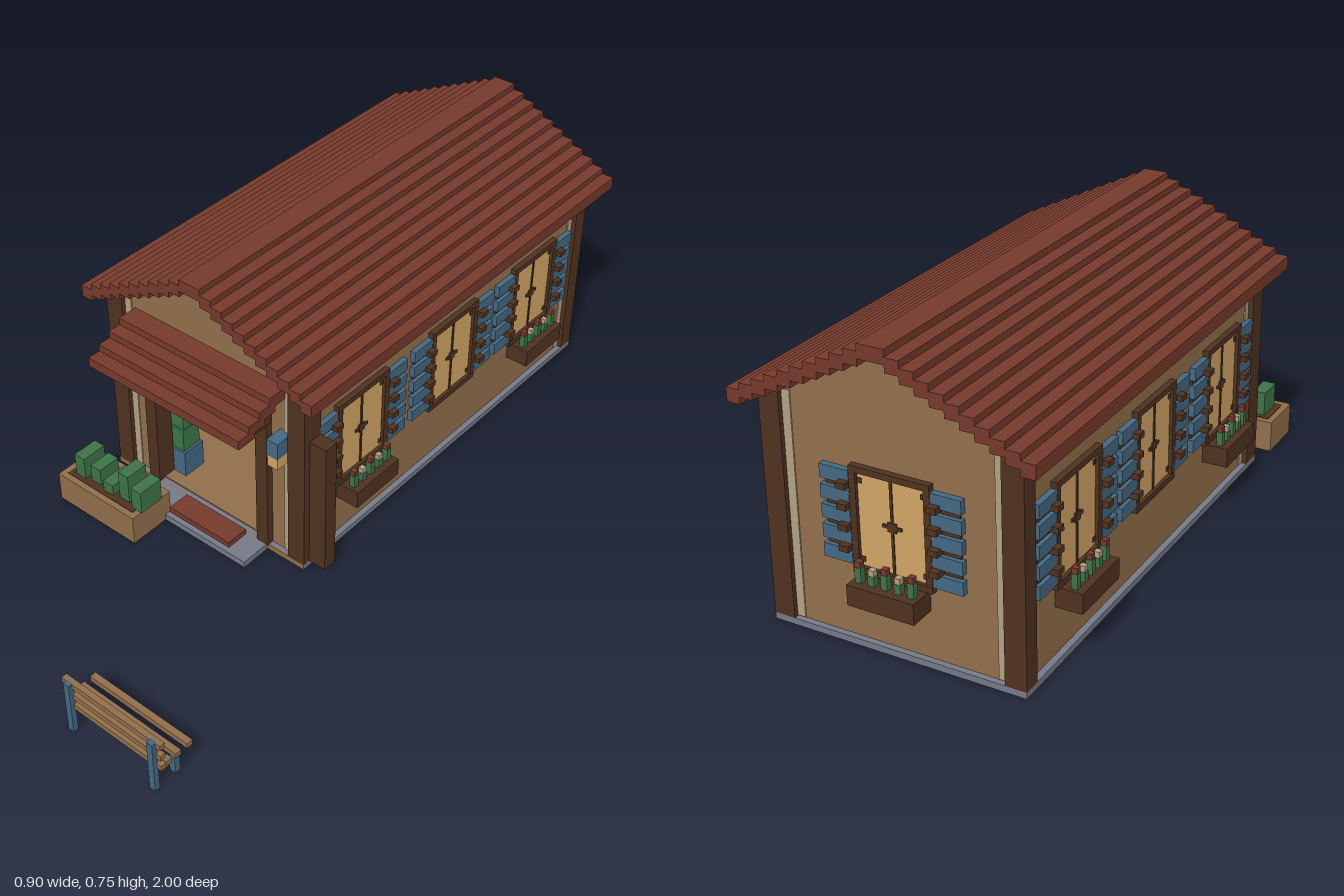
import * as THREE from 'three';

const mat = (name, color, side = THREE.FrontSide) => {
  const m = new THREE.MeshStandardMaterial({ color, side });
  m.name = name;
  return m;
};
const M = {
  dark: mat('dark wood', 0x4f3220),
  wall: mat('tan timber', 0x926f4b),
  roof: mat('red tile', 0x76392c),
  plaster: mat('pale plaster', 0xb3a083),
  blue: mat('blue paint', 0x446882),
  green: mat('leaf green', 0x3d7546),
  navy: mat('navy board', 0x062a42, THREE.DoubleSide),
  glow: mat('warm pane', 0xd2a566),
  grey: mat('grey stone', 0x767987),
};

// Box given by its limits on each axis
function box(parent, name, m, x0, x1, y0, y1, z0, z1) {
  const mesh = new THREE.Mesh(new THREE.BoxGeometry(x1 - x0, y1 - y0, z1 - z0), m);
  mesh.position.set((x0 + x1) / 2, (y0 + y1) / 2, (z0 + z1) / 2);
  mesh.name = name;
  parent.add(mesh);
  return mesh;
}
function group(parent, name) {
  const g = new THREE.Group();
  g.name = name;
  parent.add(g);
  return g;
}
// Flat outline extruded along z
function plate(parent, name, m, pts, z, depth) {
  const shape = new THREE.Shape(pts.map(p => new THREE.Vector2(p[0], p[1])));
  const mesh = new THREE.Mesh(new THREE.ExtrudeGeometry(shape, { depth, bevelEnabled: false }), m);
  mesh.position.z = z;
  mesh.name = name;
  parent.add(mesh);
}

const CX = -0.0775, XL = -0.384, XR = 0.229, ZF = 0.255, ZB = -0.93, T = 0.03;

// Window facing +z on a wall plane at local z = 0
function windowUnit(parent, withBox) {
  const w = group(parent, 'window');
  box(w, 'pane', M.glow, -0.09, 0.09, 0.2, 0.43, 0, 0.006);
  for (const s of [-1, 1]) {
    box(w, 'frameSide', M.dark, s * 0.092 - 0.008, s * 0.092 + 0.008, 0.19, 0.44, 0, 0.015);
    box(w, 'shutterBack', M.dark, s * 0.137 - 0.03, s * 0.137 + 0.03, 0.21, 0.425, 0, 0.005);
    for (let i = 0; i < 5; i++)
      box(w, 'shutterSlat', M.blue, s * 0.138 - 0.037, s * 0.138 + 0.037, 0.205 + i * 0.0475, 0.238 + i * 0.0475, 0, 0.015);
    for (let i = 0; i < 4; i++)
      box(w, 'hinge', M.dark, s * 0.112 - 0.012, s * 0.112 + 0.012, 0.239 + i * 0.05, 0.254 + i * 0.05, 0, 0.031);
  }
  box(w, 'lintel', M.dark, -0.1, 0.1, 0.428, 0.443, 0, 0.0155);
  box(w, 'sill', M.dark, -0.1, 0.1, 0.188, 0.204, 0, 0.0155);
  box(w, 'muntin', M.dark, -0.003, 0.003, 0.2, 0.43, 0, 0.009);
  box(w, 'muntinCross', M.dark, -0.024, 0.024, 0.312, 0.32, 0, 0.0095);
  box(w, 'muntinBoss', M.dark, -0.011, 0.011, 0.305, 0.327, 0, 0.01);
  for (const sx of [-1, 1]) for (const y of [0.22, 0.408])
    box(w, 'paneCorner', M.dark, sx * 0.079 - 0.006, sx * 0.079 + 0.006, y - 0.006, y + 0.006, 0, 0.008);
  if (withBox) {
    box(w, 'flowerBox', M.dark, -0.084, 0.084, 0.136, 0.186, 0, 0.066);
    for (let i = 0; i < 5; i++) {
      const x = -0.066 + i * 0.033, h = i % 2 ? 0.21 : 0.222;
      box(w, 'stem', M.green, x - 0.008, x + 0.008, 0.186, h, 0.032, 0.048);
      box(w, 'bloom', i % 2 ? M.plaster : M.roof, x - 0.007, x + 0.007, h, h + 0.014, 0.033, 0.047);
    }
  }
  return w;
}

export function createModel() {
  const root = new THREE.Group();
  root.name = 'cottage';

  // Foundation and floor
  const base = group(root, 'foundation');
  box(base, 'stoneBase', M.grey, -0.4, 0.245, 0.002, 0.018, -0.945, 0.268);
  box(base, 'frontSill', M.wall, -0.4, 0.245, 0.002, 0.018, 0.268, 0.272);
  box(base, 'underside', M.wall, -0.385, 0.23, 0, 0.004, -0.93, 0.255);
  for (const [x, z] of [[-0.058, -0.705], [-0.085, -0.338]])
    box(base, 'undersidePad', M.glow, x - 0.05, x + 0.05, -0.0005, 0.002, z - 0.02, z + 0.02);
  box(base, 'floor', M.wall, XL, XR, 0.018, 0.022, ZB, ZF);
  box(base, 'entryStep', M.grey, -0.29, 0.125, 0, 0.018, 0.272, 0.36);
  box(base, 'doorMat', M.roof, -0.145, 0.06, 0.018, 0.034, 0.28, 0.345);

  // Walls with gables; the front has a doorway notch
  const walls = group(root, 'walls');
  const top = x => 0.545 + 0.5 * (Math.min(x + 0.45, 0.295 - x));
  const gable = [[XR, top(XR)], [-0.045, 0.715], [-0.11, 0.715], [XL, top(XL)]];
  plate(walls, 'backWall', M.wall, [[XL, 0.018], [XR, 0.018], ...gable], ZB, T);
  plate(walls, 'frontWall', M.wall, [[XL, 0.018], [-0.25, 0.018], [-0.25, 0.42], [0.095, 0.42],
    [0.095, 0.018], [XR, 0.018], ...gable], ZF - T, T);
  box(walls, 'leftWall', M.wall, XR - T, XR, 0.018, 0.578, ZB + T, ZF - T);
  box(walls, 'rightWall', M.wall, XL, XL + T, 0.018, 0.578, ZB + T, ZF - T);
  box(walls, 'innerBack', M.plaster, XL + T, XR - T, 0.05, 0.57, ZB + T, ZB + T + 0.004);
  box(walls, 'innerLeft', M.plaster, XR - T - 0.004, XR - T, 0.05, 0.57, ZB + T, ZF - T);
  box(walls, 'innerRight', M.plaster, XL + T, XL + T + 0.004, 0.05, 0.57, ZB + T, ZF - T);

  // Corner posts and the pale strips beside them
  const posts = group(root, 'cornerPosts');
  for (const s of [-1, 1]) {
    const a = CX + s * 0.27, b = CX + s * 0.3225, c = CX + s * 0.249;
    for (const [z0, z1, p0, p1, zf] of [[0.21, 0.27, 0.19, 0.21, ZF], [-0.945, -0.9, -0.9, -0.88, ZB]]) {
      box(posts, 'post', M.dark, Math.min(a, b), Math.max(a, b), 0.018, 0.577, z0, z1);
      box(posts, 'endStrip', M.plaster, Math.min(a, c), Math.max(a, c), 0.02, 0.575, zf - 0.003, zf + 0.003);
      const xw = s > 0 ? XR : XL;
      box(posts, 'sideStrip', M.plaster, xw - 0.003, xw + 0.003, 0.02, 0.56, p0, p1);
    }
  }

  // Stepped tile roof, eaves to ridge
  const roof = group(root, 'roof');
  for (let i = 0; i < 10; i++) {
    const y = 0.543 + i * 0.0169, d = 0.3725 - i * 0.034;
    for (const s of [-1, 1]) {
      const a = CX + s * d, b = CX + s * (d - 0.034);
      box(roof, 'tileRow', M.roof, Math.min(a, b), Math.max(a, b), y, y + 0.0338, -0.985, 0.305);
    }
  }
  box(roof, 'ridge', M.roof, CX - 0.0325, CX + 0.0325, 0.712, 0.746, -0.985, 0.305);

  // Windows on both long sides and the back
  for (const s of [-1, 1]) [0.04, -0.34, -0.71].forEach((z, i) => {
    const w = windowUnit(root, i !== 1);
    w.position.set(s > 0 ? XR : XL, 0, z);
    w.rotation.y = s * Math.PI / 2;
  });
  const back = windowUnit(root, true);
  back.position.set(CX, 0, ZB);
  back.rotation.y = Math.PI;

  // Doorway frame, open leaf and awning
  const door = group(root, 'doorway');
  box(door, 'jambRight', M.dark, -0.283, -0.247, 0.018, 0.46, 0.22, 0.275);
  box(door, 'jambLeft', M.dark, 0.093, 0.13, 0.018, 0.46, 0.22, 0.275);
  box(door, 'header', M.dark, -0.283, 0.13, 0.42, 0.475, 0.22, 0.28);
  box(door, 'openLeaf', M.dark, 0.245, 0.295, 0.018, 0.408, 0.21, 0.25);
  for (const x of [-0.297, 0.111]) box(door, 'bracket', M.dark, x, x + 0.034, 0.43, 0.495, 0.27, 0.37);
  for (let i = 0; i < 4; i++)
    box(door, 'awningRow', M.roof, -0.315, 0.175, 0.508 - i * 0.0167, 0.542 - i * 0.0195, 0.255 + i * 0.037, 0.312 + i * 0.037);

  // Wall lanterns
  for (const s of [-1, 1]) {
    const l = group(root, 'lantern'), x = CX + s * 0.252;
    box(l, 'lanternCap', M.blue, x - 0.017, x + 0.017, 0.358, 0.406, ZF, 0.306);
    box(l, 'lanternGlow', M.glow, x - 0.016, x + 0.016, 0.325, 0.358, ZF, 0.305);
  }

  // Front planter with soil and shrubs
  const planter = group(root, 'planter');
  box(planter, 'trough', M.wall, -0.415, -0.147, 0, 0.084, 0.34, 0.475);
  box(planter, 'soil', M.dark, -0.398, -0.164, 0.08, 0.0855, 0.357, 0.458);
  [[-0.363, 0.15], [-0.314, 0.135], [-0.262, 0.118], [-0.212, 0.17], [-0.161, 0.15]].forEach(([x, h], i) => {
    box(planter, 'shrub', M.green, x - 0.017, x + 0.017, 0.084, h, 0.372, i % 2 ? 0.437 : 0.445);
  });

  // Interior: map board, table, plant, stool, lamp
  const room = group(root, 'interior'), zb = ZB + T + 0.004;
  box(room, 'mapBoard', M.navy, -0.29, 0.13, 0.22, 0.46, zb, zb + 0.006);
  box(room, 'mapRail', M.dark, -0.29, 0.13, 0.205, 0.22, zb, zb + 0.015);
  const lands = [
    [M.green, [[-0.195, 0.35], [-0.165, 0.31], [-0.145, 0.315], [-0.145, 0.35], [-0.165, 0.385], [-0.185, 0.4], [-0.195, 0.39]]],
    [M.green, [[-0.11, 0.225], [-0.06, 0.22], [-0.025, 0.25], [-0.03, 0.285], [-0.06, 0.305], [-0.075, 0.26]]],
    [M.green, [[-0.01, 0.345], [0.03, 0.31], [0.07, 0.355], [0.03, 0.4], [-0.04, 0.42]]],
    [M.glow, [[-0.24, 0.4], [-0.21, 0.345], [-0.195, 0.34], [-0.2, 0.37], [-0.23, 0.405]]],
    [M.glow, [[-0.165, 0.305], [-0.14, 0.26], [-0.1, 0.255], [-0.06, 0.32], [-0.075, 0.315], [-0.105, 0.275], [-0.13, 0.275]]],
    [M.glow, [[0.01, 0.4], [0.05, 0.385], [0.075, 0.345], [0.075, 0.37], [0.05, 0.405], [0.02, 0.408]]],
  ];
  lands.forEach(([m, pts], i) => plate(room, 'mapLand', m, pts, zb + 0.006, 0.002 + i * 0.0005));
  box(room, 'tableTop', M.wall, -0.175, 0.025, 0.135, 0.15, -0.42, -0.25);
  box(room, 'tableBase', M.wall, -0.125, -0.025, 0.022, 0.135, -0.38, -0.29);
  box(room, 'tablePlant', M.green, -0.093, -0.06, 0.15, 0.186, -0.35, -0.32);
  box(room, 'tableBook', M.blue, -0.043, -0.026, 0.15, 0.186, -0.35, -0.32);
  box(room, 'chairSeat', M.dark, 0.04, 0.12, 0.086, 0.101, -0.35, -0.27);
  box(room, 'stool', M.blue, 0.077, 0.16, 0.022, 0.086, -0.35, -0.27);
  box(room, 'plantPot', M.blue, -0.275, -0.205, 0.022, 0.1, 0.15, 0.22);
  box(room, 'pottedPlantLow', M.green, -0.268, -0.212, 0.1, 0.17, 0.155, 0.215);
  box(room, 'pottedPlantMid', M.green, -0.262, -0.215, 0.17, 0.236, 0.16, 0.21);
  box(room, 'pottedPlantTop', M.green, -0.255, -0.23, 0.236, 0.256, 0.17, 0.2);
  box(room, 'hangingLamp', M.grey, -0.043, 0.007, 0.36, 0.406, -0.35, -0.3);

  // Bench in front, backrest on its outer side
  const bench = group(root, 'bench');
  for (const x of [0.16, 0.415]) {
    box(bench, 'backLeg', M.blue, x, x + 0.017, 0, 0.152, 0.985, 1);
    box(bench, 'frontLeg', M.blue, x, x + 0.017, 0, 0.07, 0.92, 0.936);
  }
  for (const z of [0.892, 0.928, 0.957]) box(bench, 'seatSlat', M.wall, 0.145, 0.446, 0.07, 0.085, z, z + 0.017);
  for (const y of [0.07, 0.103, 0.137]) box(bench, 'backSlat', M.wall, 0.145, 0.446, y, y + 0.015, 0.975, 0.99);

  return root;
}
